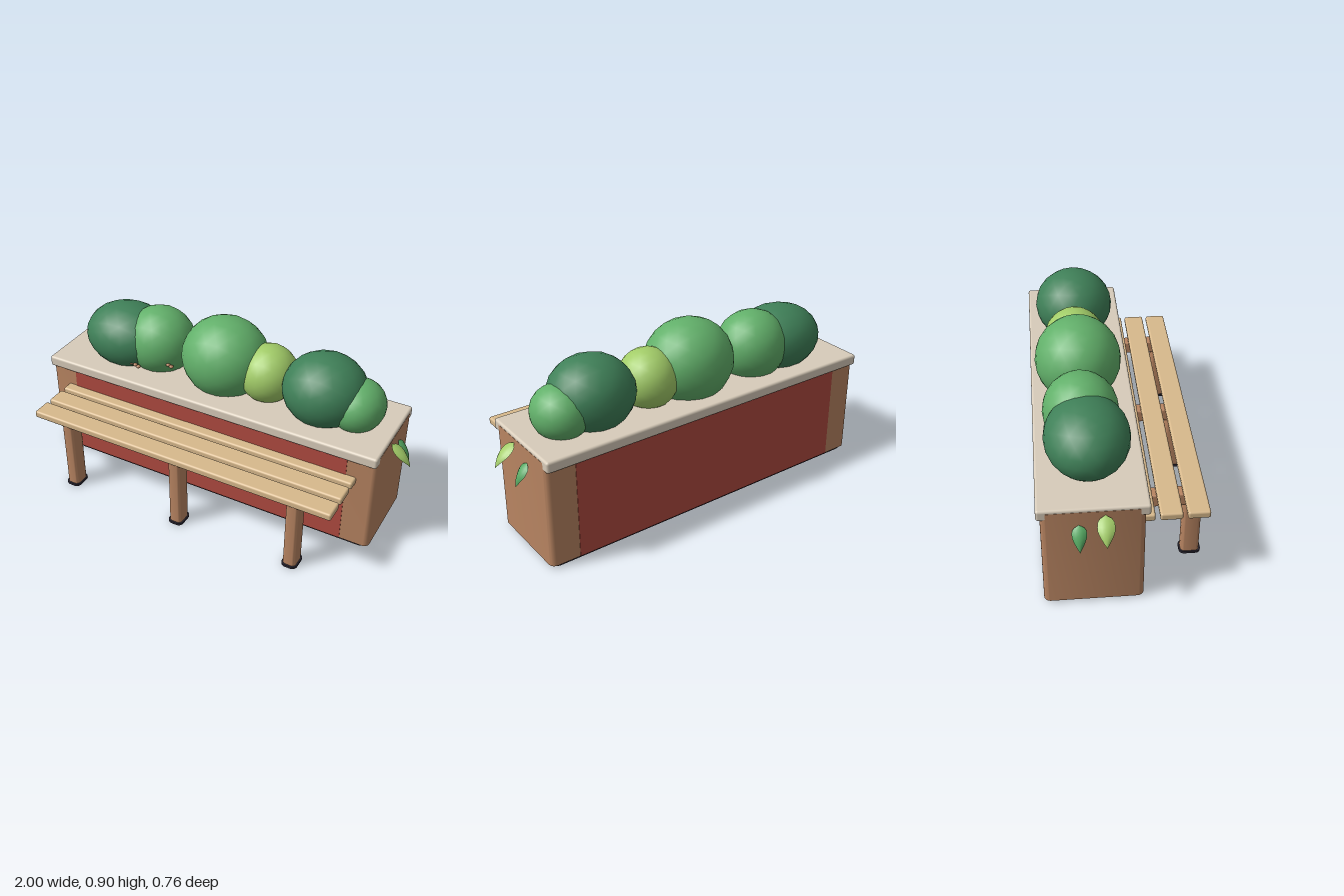
import * as THREE from 'three';
import { toCreasedNormals } from 'three/addons/utils/BufferGeometryUtils.js';
import { RoundedBoxGeometry } from 'three/addons/geometries/RoundedBoxGeometry.js';

const makeMaterial = (name, color, side = THREE.FrontSide) => {
  const m = new THREE.MeshStandardMaterial({ color, side });
  m.name = name;
  return m;
};

export function createModel() {
  const model = new THREE.Group();
  model.name = 'planterBench';

  const wood = makeMaterial('brown wood', 0xb98562);
  const paleWood = makeMaterial('pale wood', 0xd8b98c);
  const red = makeMaterial('red panel', 0xb04a40);
  const stone = makeMaterial('cream stone', 0xd8ccba);
  const dark = makeMaterial('dark base', 0x2b2733);
  const darkGreen = makeMaterial('dark green', 0x3f8058);
  const green = makeMaterial('green', 0x62b06a);
  const lime = makeMaterial('lime', 0xa2cc68);
  const leafGreen = makeMaterial('leaf green', 0x55a862, THREE.DoubleSide);
  const leafLime = makeMaterial('leaf lime', 0xa2cc68, THREE.DoubleSide);

  const add = (name, geometry, material, parent = model) => {
    const mesh = new THREE.Mesh(geometry, material);
    mesh.name = name;
    parent.add(mesh);
    return mesh;
  };

  // Box given by its limits, with softly rounded edges
  const softBox = (name, [x0, x1], [y0, y1], [z0, z1], r, material, parent) => {
    const mesh = add(name, new RoundedBoxGeometry(x1 - x0, y1 - y0, z1 - z0, 2, r), material, parent);
    mesh.position.set((x0 + x1) / 2, (y0 + y1) / 2, (z0 + z1) / 2);
    return mesh;
  };

  // Upright block whose vertical edges are rounded and whose ends are flat
  const pillar = (name, [x0, x1], [y0, y1], [z0, z1], r, material, parent) => {
    const w = (x1 - x0) / 2, d = (z1 - z0) / 2;
    const s = new THREE.Shape();
    s.absarc(w - r, d - r, r, 0, Math.PI / 2);
    s.absarc(-w + r, d - r, r, Math.PI / 2, Math.PI);
    s.absarc(-w + r, -d + r, r, Math.PI, Math.PI * 1.5);
    s.absarc(w - r, -d + r, r, Math.PI * 1.5, Math.PI * 2);
    const flat = new THREE.ExtrudeGeometry(s, { depth: y1 - y0, bevelEnabled: false, curveSegments: 4 });
    flat.rotateX(-Math.PI / 2);
    const mesh = add(name, toCreasedNormals(flat, 0.6), material, parent);
    mesh.position.set((x0 + x1) / 2, y0, (z0 + z1) / 2);
    return mesh;
  };

  // Planter box: base, wooden ends, red walls and stone cap
  pillar('planterBase', [-0.88, 0.88], [0, 0.014], [-0.352, 0.078], 0.03, dark);
  pillar('planterEnds', [-0.9, 0.9], [0.012, 0.54], [-0.36, 0.085], 0.03, wood);
  for (const [name, z] of [['frontPanel', 0.0845], ['backPanel', -0.3595]]) {
    const panel = add(name, new THREE.BoxGeometry(1.51, 0.49, 0.006), red);
    panel.position.set(0, 0.258, z);
  }
  softBox('cap', [-0.899, 0.899], [0.5, 0.555], [-0.377, 0.105], 0.012, stone);

  // Bench seat slats
  for (const z of [0.33, 0.209, 0.088]) {
    softBox('seatSlat', [-0.805, 0.805], [0.37, 0.407], [z - 0.05, z + 0.05], 0.01, paleWood);
  }

  // Bench legs with feet and arms reaching back to the planter
  for (const x of [-0.617, 0, 0.617]) {
    const leg = new THREE.Group();
    leg.name = 'benchLeg';
    model.add(leg);
    pillar('post', [x - 0.033, x + 0.033], [0.01, 0.371], [0.286, 0.372], 0.02, wood, leg);
    pillar('foot', [x - 0.039, x + 0.039], [0, 0.012], [0.279, 0.38], 0.025, dark, leg);
    softBox('arm', [x - 0.031, x + 0.031], [0.304, 0.371], [0.05, 0.303], 0.008, wood, leg);
  }

  // Clipped bushes: centre, radii, colour
  const bushes = [
    [[-0.56, 0.665, -0.14], [0.23, 0.166, 0.192], darkGreen],
    [[-0.38, 0.672, -0.157], [0.183, 0.178, 0.173], green],
    [[0, 0.69, -0.147], [0.222, 0.207, 0.207], green],
    [[0.235, 0.665, -0.15], [0.145, 0.147, 0.148], lime],
    [[0.535, 0.675, -0.139], [0.207, 0.18, 0.197], darkGreen],
    [[0.7, 0.635, -0.148], [0.133, 0.128, 0.147], green],
  ];
  for (const [centre, radii, material] of bushes) {
    const bush = add('bush', new THREE.IcosahedronGeometry(1, 3).scale(...radii), material);
    bush.position.set(...centre);
  }

  // Small brown berries at the foot of the bushes
  for (const [x, y, z] of [[-0.44, 0.585, -0.002], [-0.265, 0.62, -0.035]]) {
    for (const [dx, dy] of [[-0.02, 0.005], [0, 0], [0.018, -0.006]]) {
      const berry = add('berry', new THREE.SphereGeometry(0.012, 8, 6).scale(1, 0.7, 1), wood);
      berry.position.set(x + dx, y + dy, z);
    }
  }

  // Hanging leaf: a strip that arches outwards, bulges in the middle and ends in a point
  const leafGeometry = (side, reach, drop, width) => {
    const g = new THREE.PlaneGeometry(1, 1, 4, 8);
    const p = g.attributes.position;
    for (let i = 0; i < p.count; i++) {
      const across = p.getX(i) * 2, t = 0.5 - p.getY(i);
      const half = (width / 2) * Math.min(1, 1.04 * Math.sin(Math.PI * Math.pow(t, 0.72)));
      const fold = 0.012 * across * across * Math.sin(Math.PI * t);
      p.setXYZ(i, side * (reach * Math.sin(t * 1.4) / Math.sin(1.4) - fold),
        -drop * (0.45 * t + 0.55 * t * t) - fold * 0.5, across * half);
    }
    g.computeVertexNormals();
    return g;
  };
  for (const side of [-1, 1]) {
    add('limeLeaf', leafGeometry(side, 0.1, 0.095, 0.075), leafLime).position.set(side * 0.9, 0.52, -0.087);
    add('greenLeaf', leafGeometry(side, 0.065, 0.1, 0.064), leafGreen).position.set(side * 0.9, 0.47, -0.198);
  }

  return model;
}
